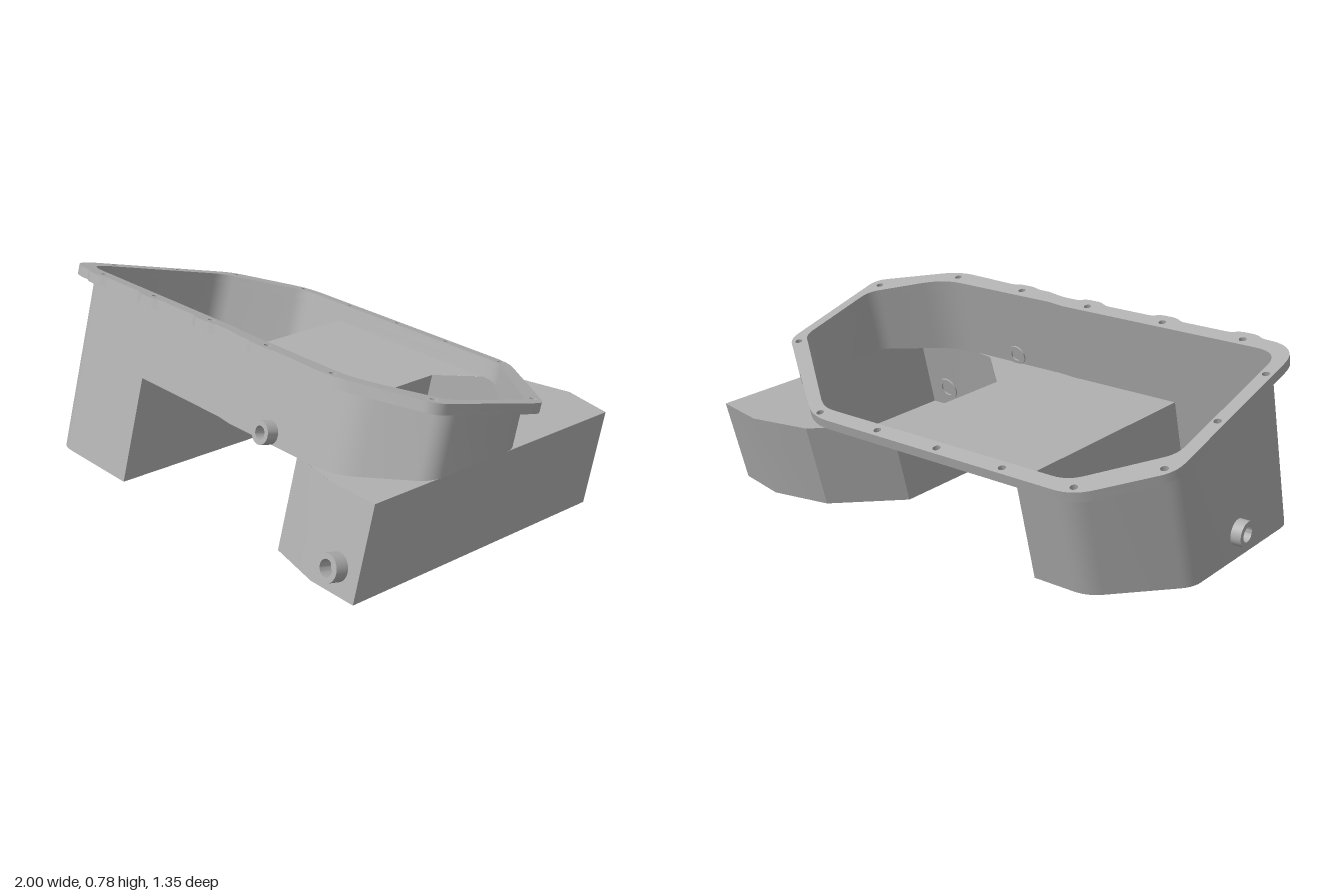
import * as THREE from 'three';
import { toCreasedNormals } from 'three/addons/utils/BufferGeometryUtils.js';

const TILT = THREE.MathUtils.degToRad(15);
const LEAN = Math.tan(TILT);   // walls lean forward as they go down
const FLOOR = 0.42;            // height of the shallow floor
const SPLIT = -0.45;           // inner side of the deep sump

// All outlines are [x, w, trim]: w is the z a leaning wall would have at y = 0.
function roundedLoop(corners) {
  const pts = [];
  corners.forEach(([x, w, trim = 0], i) => {
    const p = new THREE.Vector2(x, w);
    if (!trim) return pts.push(p);
    const n = corners.length;
    const toward = ([a, b]) => new THREE.Vector2(a, b).sub(p).setLength(trim).add(p);
    const curve = new THREE.QuadraticBezierCurve(
      toward(corners[(i + n - 1) % n]), p, toward(corners[(i + 1) % n]));
    pts.push(...curve.getPoints(8));
  });
  return pts;
}

// Leaning wall strip along an outline, between two height rules
function wallGeometry(pts, bottom, top, closed = true) {
  const pos = [];
  const put = (p, y) => pos.push(p.x, y, p.y - LEAN * y);
  const count = closed ? pts.length : pts.length - 1;
  for (let i = 0; i < count; i++) {
    const a = pts[i], b = pts[(i + 1) % pts.length];
    const low = bottom((a.x + b.x) / 2);
    put(a, low); put(a, top(a.y)); put(b, top(b.y));
    put(a, low); put(b, top(b.y)); put(b, low);
  }
  const g = new THREE.BufferGeometry();
  g.setAttribute('position', new THREE.Float32BufferAttribute(pos, 3));
  g.computeVertexNormals();
  return toCreasedNormals(g, 0.45);
}

// Level plate filling an outline at height y
function plateGeometry(pts, y) {
  const g = new THREE.ShapeGeometry(new THREE.Shape(pts.map(p => new THREE.Vector2(p.x, -p.y))));
  return g.rotateX(-Math.PI / 2).translate(0, y, -LEAN * y);
}

export function createModel() {
  const model = new THREE.Group();
  model.name = 'oilPan';
  const metal = new THREE.MeshStandardMaterial({ color: 0xb0b0b0, side: THREE.DoubleSide });
  metal.name = 'grey metal';
  const add = (name, geometry) => {
    const mesh = new THREE.Mesh(geometry, metal);
    mesh.name = name;
    model.add(mesh);
    return mesh;
  };
  const vec = list => list.map(([x, w]) => new THREE.Vector2(x, w));

  // Main pan walls: deep on the right, shallow elsewhere
  const pan = roundedLoop([
    [-0.685, -0.425, 0.06], [SPLIT, -0.425], [0.409, -0.425], [0.475, -0.425, 0.06],
    [0.957, -0.01, 0.04], [0.957, 0.4, 0.05], [0.7, 0.622, 0.1], [0.58, 0.622],
    [0.13, 0.622], [0.05, 0.612], [SPLIT, 0.612], [-0.947, 0.612, 0.1], [-0.947, -0.13, 0.05],
  ]);
  const underFlange = w => (0.605 + LEAN * w) / (1 + LEAN * LEAN);
  add('panWalls', wallGeometry(pan, x => (x < SPLIT ? 0 : FLOOR), underFlange));

  // Deep sump
  add('sumpFloor', plateGeometry(pan.filter(p => p.x <= SPLIT), 0));
  add('sumpInnerWall', wallGeometry(vec([[SPLIT, -0.425], [SPLIT, 0.612]]), () => 0, () => FLOOR, false));

  // Shallow floor, stopping at the side box
  add('shallowFloor', plateGeometry(vec([
    [SPLIT, -0.425], [0.409, -0.425], [0.27, -0.285], [0.27, 0.365], [0.5, 0.605],
    [0.58, 0.622], [0.13, 0.622], [0.05, 0.612], [SPLIT, 0.612],
  ]), FLOOR));

  // Side box, open into the pan and capped where it sticks out
  const box = vec([
    [0.27, -0.285], [0.5, -0.516], [0.74, -0.565], [0.957, -0.516],
    [0.957, 0.657], [0.74, 0.657], [0.5, 0.605], [0.27, 0.365],
  ]);
  add('boxWalls', wallGeometry(box, () => 0.075, () => FLOOR));
  add('boxFloor', plateGeometry(box, 0.075));
  add('boxBackCap', plateGeometry([
    ...pan.filter(p => p.x >= 0.409 && p.y < 0.1), box[3], box[2], box[1],
  ], FLOOR));
  add('boxFrontCap', plateGeometry([
    ...pan.filter(p => p.x >= 0.58 && p.y > 0.2), box[5], box[4],
  ], FLOOR));

  // Tilted bolt flange, with small swellings beside the front bolts
  const swell = (x, w, out) => [
    [x + 0.07, w, 0.015], [x + 0.035, w + out, 0.02], [x - 0.035, w + out, 0.02], [x - 0.07, w, 0.015]];
  const rim = roundedLoop([
    [-0.75, -0.493, 0.08], [0.474, -0.493, 0.08], [1, -0.064, 0.05], [1, 0.504, 0.05],
    [0.675, 0.71, 0.08], ...swell(0.3, 0.698, 0.012), [0.18, 0.698], [0.1, 0.682],
    ...[-0.05, -0.41, -0.77].flatMap(x => swell(x, 0.68, 0.02)),
    [-1, 0.68, 0.14], [-1, -0.225, 0.06],
  ]);
  const inPlane = (x, w) => new THREE.Vector2(x, -(w - 0.6 * LEAN) * Math.cos(TILT));
  const flange = new THREE.Shape(rim.map(p => inPlane(p.x, p.y)));
  flange.holes.push(new THREE.Path(pan.map(p => inPlane(p.x, p.y))));
  const bolts = [
    [-0.73, -0.45], [-0.43, -0.461], [-0.13, -0.461], [0.16, -0.461], [0.46, -0.458],
    [0.73, -0.268], [0.95, -0.064], [0.95, 0.472], [0.65, 0.665], [0.3, 0.665],
    [-0.05, 0.649], [-0.41, 0.649], [-0.77, 0.649], [-0.972, 0.456], [-0.969, 0.107], [-0.952, -0.225],
  ];
  for (const [x, w] of bolts) {
    const c = inPlane(x, w);
    flange.holes.push(new THREE.Path().absarc(c.x, c.y, 0.015, 0, Math.PI * 2, true));
  }
  const flangeGeometry = new THREE.ExtrudeGeometry(flange, { depth: 0.04, bevelEnabled: false, curveSegments: 8 });
  const flangeMesh = add('flange', toCreasedNormals(flangeGeometry, 0.45));
  flangeMesh.rotation.x = -Math.PI / 2 - TILT;
  flangeMesh.position.y = 0.6;

  // Threaded-port bosses: short rings standing on the walls
  const port = (name, outer, inner, length) => {
    const ring = new THREE.Shape().absarc(0, 0, outer, 0, Math.PI * 2);
    ring.holes.push(new THREE.Path().absarc(0, 0, inner, 0, Math.PI * 2, true));
    const g = new THREE.ExtrudeGeometry(ring, { depth: length, bevelEnabled: false, curveSegments: 16 });
    return add(name, toCreasedNormals(g, 0.5));
  };
  const boxPort = port('boxPort', 0.052, 0.031, 0.06);
  boxPort.position.set(0.85, 0.165, 0.605);
  boxPort.rotation.x = -TILT;
  const panPort = port('panPort', 0.044, 0.025, 0.055);
  panPort.position.set(0.355, 0.457, 0.492);
  panPort.rotation.x = -TILT;
  const drainPort = port('drainPort', 0.052, 0.031, 0.045);
  drainPort.position.set(-0.945, 0.112, 0.17);
  drainPort.rotation.y = -Math.PI / 2;

  return model;
}
